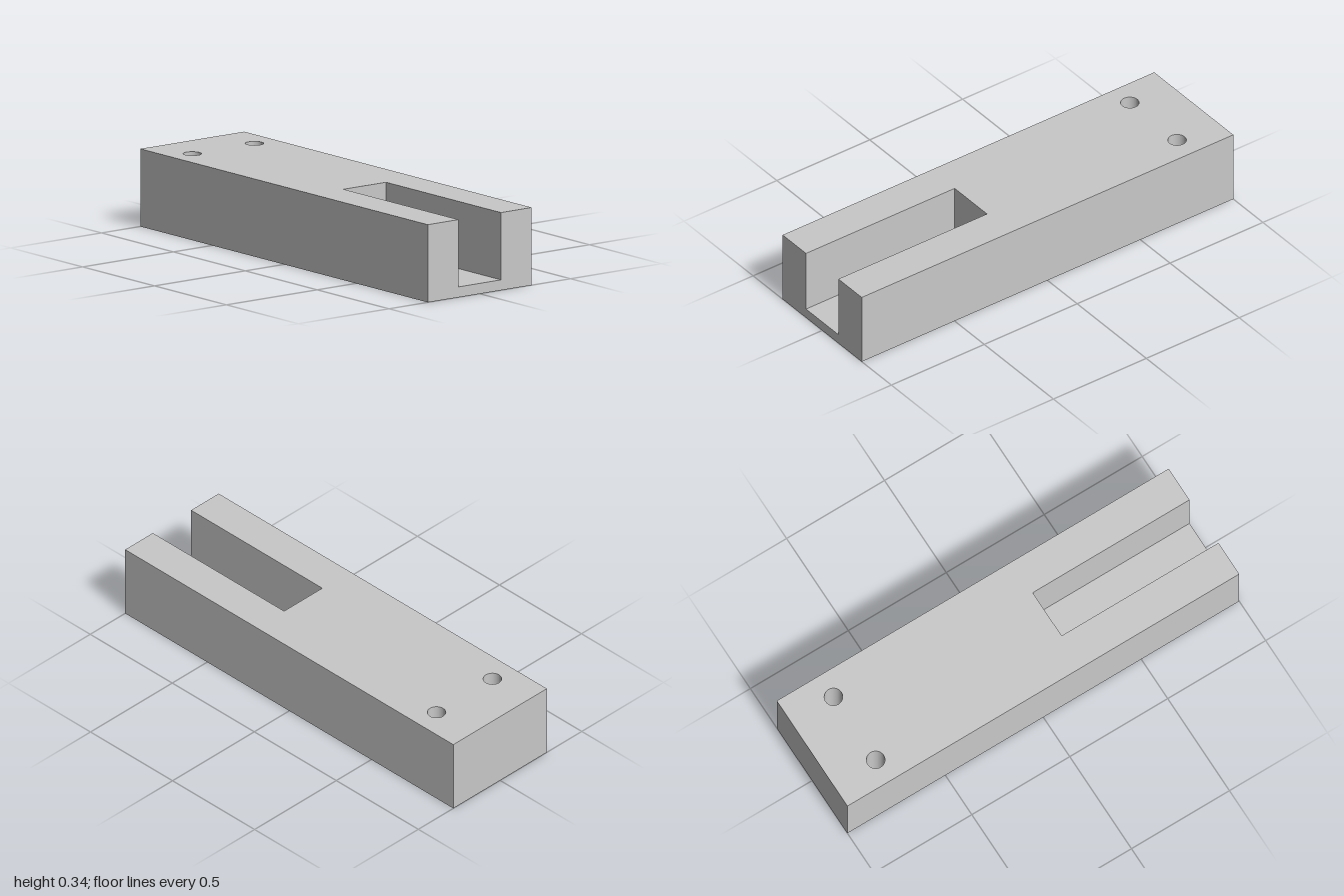
import * as THREE from 'three';

const HEIGHT = 0.343, HALF_WIDTH = 0.286;
const SLOT_START = 0.2, SLOT_HALF = 0.117, SLOT_FLOOR = 0.046;
const HOLE_X = -0.783, HOLE_Z = 0.171, HOLE_RADIUS = 0.04;

export function createModel() {
  const group = new THREE.Group();
  group.name = 'slottedBlock';
  const grey = new THREE.MeshStandardMaterial({ color: 0xc8c8c8 });
  grey.name = 'lightGrey';

  // Block outline seen from above, notched at the +x end
  const outline = new THREE.Shape([
    [-1, -HALF_WIDTH], [1, -HALF_WIDTH], [1, -SLOT_HALF], [SLOT_START, -SLOT_HALF],
    [SLOT_START, SLOT_HALF], [1, SLOT_HALF], [1, HALF_WIDTH], [-1, HALF_WIDTH],
  ].map(([x, z]) => new THREE.Vector2(x, z)));

  // Pair of through holes
  for (const side of [-1, 1]) {
    const hole = new THREE.Path();
    hole.absarc(HOLE_X, side * HOLE_Z, HOLE_RADIUS, 0, Math.PI * 2, true);
    outline.holes.push(hole);
  }

  const bodyGeometry = new THREE.ExtrudeGeometry(outline, {
    depth: HEIGHT, bevelEnabled: false, curveSegments: 32,
  });
  bodyGeometry.rotateX(-Math.PI / 2);
  const body = new THREE.Mesh(bodyGeometry, grey);
  body.name = 'body';
  group.add(body);

  // Thin floor closing the bottom of the slot
  const floor = new THREE.Mesh(
    new THREE.BoxGeometry(1 - SLOT_START, SLOT_FLOOR, SLOT_HALF * 2), grey);
  floor.name = 'slotFloor';
  floor.position.set((1 + SLOT_START) / 2, SLOT_FLOOR / 2, 0);
  group.add(floor);

  return group;
}
